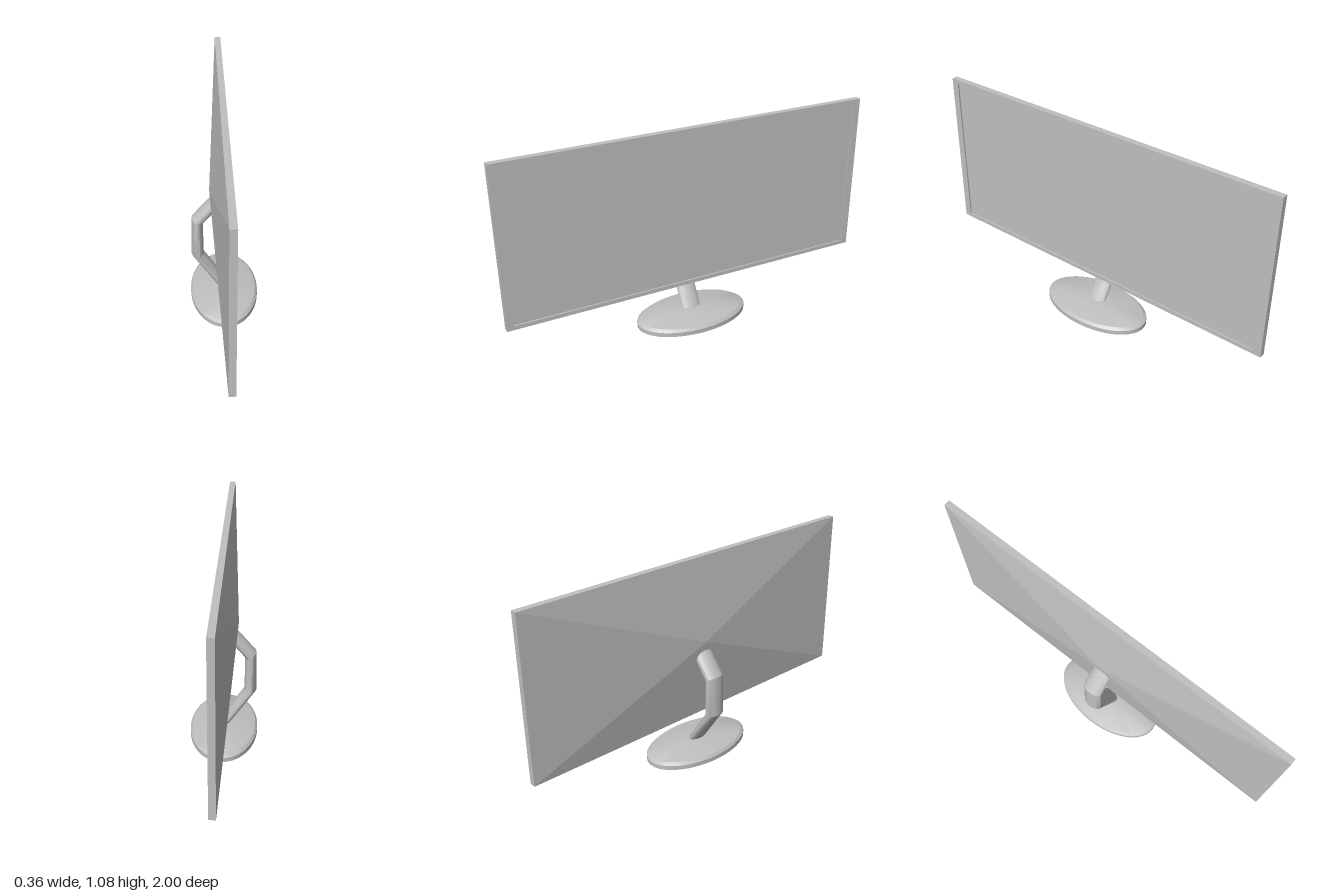
import * as THREE from 'three';
import { toCreasedNormals } from 'three/addons/utils/BufferGeometryUtils.js';

const SQUASH = 0.58; // the foot and arm are round shapes narrowed in depth

export function createModel() {
  const model = new THREE.Group();
  model.name = 'monitor';
  const grey = new THREE.MeshStandardMaterial({ color: 0xbfbfbf });
  grey.name = 'grey plastic';

  const add = (name, geometry, x = 0, y = 0, z = 0) => {
    const mesh = new THREE.Mesh(geometry, grey);
    mesh.name = name;
    mesh.position.set(x, y, z);
    model.add(mesh);
    return mesh;
  };

  // Panel: faces +x
  const height = 0.866, middle = 0.642;
  const backX = -0.017, seamX = -0.002, frontX = 0.016, screenX = 0.008;
  add('panelBack', new THREE.BoxGeometry(seamX - backX, height, 2), (backX + seamX) / 2, middle);

  // Front frame with a rectangular opening
  const rectangle = (target, w, h) => {
    target.moveTo(-w, -h);
    target.lineTo(w, -h);
    target.lineTo(w, h);
    target.lineTo(-w, h);
    target.closePath();
    return target;
  };
  const outline = rectangle(new THREE.Shape(), 1, height / 2);
  outline.holes.push(rectangle(new THREE.Path(), 0.96, height / 2 - 0.022));
  const frame = new THREE.ExtrudeGeometry(outline, { depth: frontX - seamX, bevelEnabled: false });
  frame.rotateY(Math.PI / 2);
  add('screenFrame', frame, seamX, middle);

  // Screen set back inside the frame
  add('screen', new THREE.BoxGeometry(screenX - seamX, height - 0.044, 1.92), (seamX + screenX) / 2, middle);

  // Shallow pyramid on the back
  const depth = 0.058;
  let shell = new THREE.ConeGeometry(Math.SQRT1_2, depth, 4, 1, true);
  shell.rotateY(Math.PI / 4);
  shell.rotateZ(Math.PI / 2);
  shell.scale(1, height, 2);
  shell = shell.toNonIndexed();
  shell.computeVertexNormals();
  add('rearShell', shell, backX - depth / 2, middle);

  // Oval foot
  const profile = [[0, 0], [0.31, 0], [0.31, 0.024], [0.29, 0.037], [0.11, 0.06], [0, 0.06]]
    .map(([r, y]) => new THREE.Vector2(r, y));
  const foot = new THREE.LatheGeometry(profile, 48);
  foot.scale(SQUASH, 1, 1);
  add('foot', toCreasedNormals(foot, 0.5));

  // Bent arm: oval rings given by centre (x, y) and half width direction (x, y)
  const rings = [
    [0, 0.05, 0.031, 0],
    [-0.14, 0.258, 0.032, 0],
    [-0.138, 0.465, 0.029, -0.0145],
    [-0.035, 0.587, 0.0235, -0.02],
  ];
  const sides = 16, positions = [], index = [];
  rings.forEach(([cx, cy, ux, uy], i) => {
    for (let j = 0; j < sides; j++) {
      const a = (j / sides) * Math.PI * 2;
      positions.push(cx + ux * Math.cos(a), cy + uy * Math.cos(a), 0.054 * Math.sin(a));
      if (i === 0) continue;
      const k = (j + 1) % sides, low = (i - 1) * sides, high = i * sides;
      index.push(low + j, high + j, low + k, high + j, high + k, low + k);
    }
  });
  const arm = new THREE.BufferGeometry();
  arm.setAttribute('position', new THREE.Float32BufferAttribute(positions, 3));
  arm.setIndex(index);
  add('arm', toCreasedNormals(arm, 0.5));

  return model;
}
